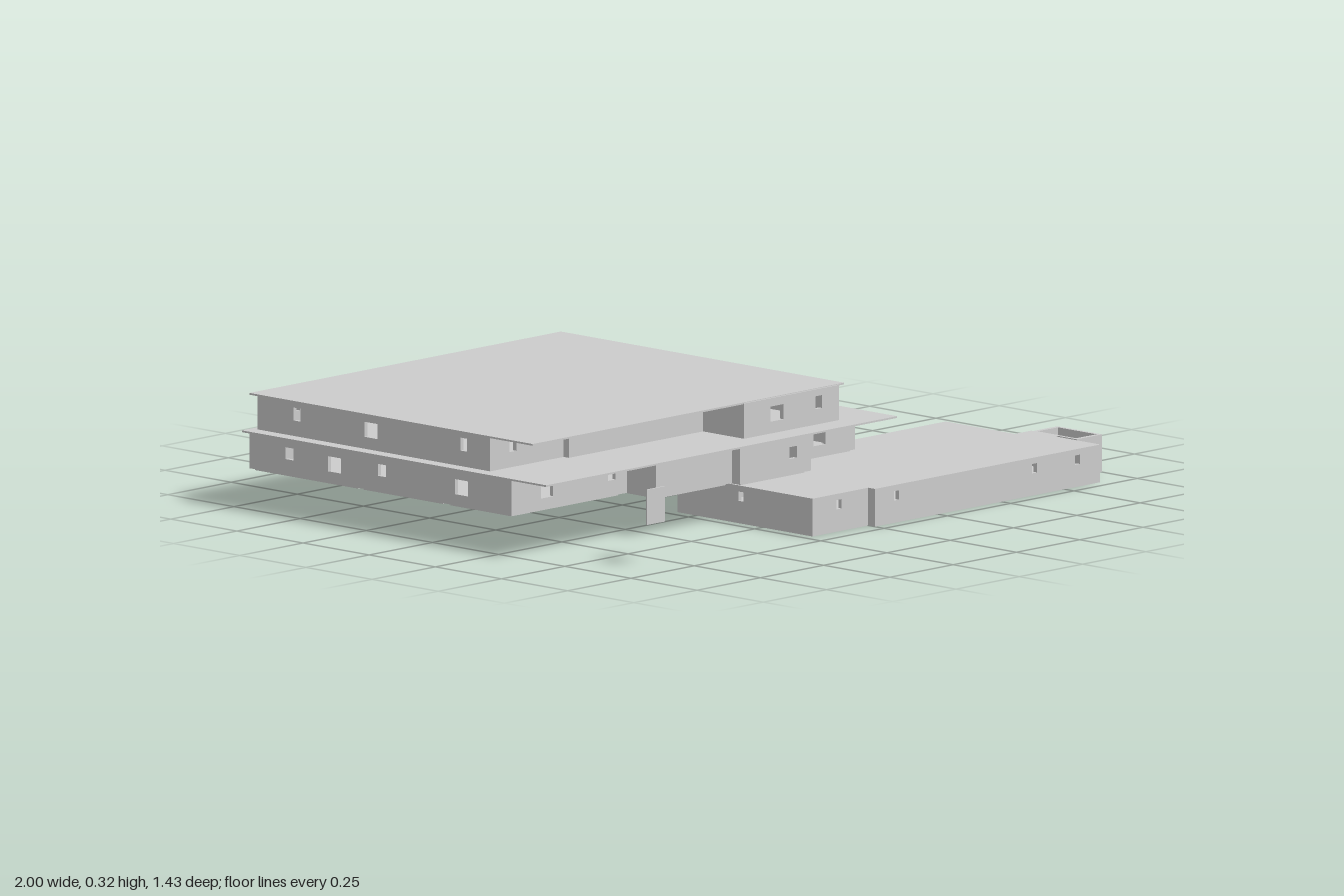
import * as THREE from 'three';

const wallGrey = new THREE.MeshStandardMaterial({ color: 0xcccccc, side: THREE.DoubleSide });
wallGrey.name = 'wall grey';

function add(parent, geometry, name) {
  const mesh = new THREE.Mesh(geometry, wallGrey);
  mesh.name = name;
  parent.add(mesh);
  return mesh;
}

function box(parent, name, x0, x1, y0, y1, z0, z1) {
  const mesh = add(parent, new THREE.BoxGeometry(x1 - x0, y1 - y0, z1 - z0), name);
  mesh.position.set((x0 + x1) / 2, (y0 + y1) / 2, (z0 + z1) / 2);
}

// Horizontal slab that follows an outline of [x, z] points
function slab(parent, name, outline, y, height) {
  const shape = new THREE.Shape(outline.map(([x, z]) => new THREE.Vector2(x, -z)));
  const geometry = new THREE.ExtrudeGeometry(shape, { depth: height, bevelEnabled: false });
  geometry.rotateX(-Math.PI / 2);
  add(parent, geometry, name).position.y = y;
}

// Wall panels along an outline; each point may list the windows of the wall
// that starts there, as [coordinate along the wall, width, height, centre y]
function walls(parent, outline, y0, y1) {
  const t = 0.012;
  outline.forEach(([x, z, windows = []], i) => {
    const [nx, nz] = outline[(i + 1) % outline.length];
    const dx = nx - x, dz = nz - z, length = Math.hypot(dx, dz);
    const shape = new THREE.Shape([[0, 0], [length, 0], [length, y1 - y0], [0, y1 - y0]]
      .map(p => new THREE.Vector2(...p)));
    for (const [at, w, h, cy] of windows) {
      const c = Math.abs(at - (Math.abs(dx) > Math.abs(dz) ? x : z));
      const b = cy - y0 - h / 2;
      shape.holes.push(new THREE.Path([[c - w / 2, b], [c - w / 2, b + h], [c + w / 2, b + h], [c + w / 2, b]]
        .map(p => new THREE.Vector2(...p))));
    }
    const geometry = new THREE.ExtrudeGeometry(shape, { depth: t, bevelEnabled: false });
    geometry.translate(0, 0, -t);
    const panel = add(parent, geometry, 'wallPanel');
    panel.position.set(x, y0, z);
    panel.rotation.y = Math.atan2(-dz, dx);
  });
}

function level(root, name) {
  const group = new THREE.Group();
  group.name = name;
  root.add(group);
  return group;
}

const row = (list, w, h, y) => list.map(c => [c, w, h, y]);

export function createModel() {
  const root = new THREE.Group();
  root.name = 'steppedBuilding';

  // Lower storey
  const lower = level(root, 'lowerStorey');
  const small = list => row(list, 0.02, 0.026, 0.075);
  const lowerOutline = [
    [-0.22, 0.69, small([-0.115])], [0, 0.69], [0, 0.715, small([0.085, 0.63, 0.8])],
    [0.89, 0.715], [0.89, 0.545], [0.905, 0.545], [0.905, 0.44], [0.84, 0.44, small([0.4, 0.27])],
    [0.84, 0.18, small([0.65, 0.44, 0.24, 0.05])], [-0.22, 0.18, small([0.42])],
  ];
  walls(lower, lowerOutline, 0.002, 0.104);
  slab(lower, 'lowerFloor', lowerOutline, 0, 0.01);
  slab(lower, 'lowerRoof', lowerOutline, 0.1, 0.005);

  // Open shaft beside the lower storey
  const shaft = level(root, 'openShaft');
  box(shaft, 'shaftFront', 0.9, 1, 0, 0.105, 0.605, 0.617);
  box(shaft, 'shaftBack', 0.9, 1, 0, 0.105, 0.448, 0.46);
  box(shaft, 'shaftInnerSide', 0.9, 0.91, 0, 0.105, 0.46, 0.605);
  box(shaft, 'shaftOuterSide', 0.99, 1, 0, 0.105, 0.46, 0.605);

  // Middle storey
  const middle = level(root, 'middleStorey');
  const mid = list => row(list, 0.03, 0.033, 0.172);
  const wide = list => row(list, 0.048, 0.042, 0.164);
  const middleOutline = [
    [-0.99, 0.29, [...wide([-0.85]), ...mid([-0.595])]], [-0.535, 0.29], [-0.535, 0.4], [-0.235, 0.4],
    [-0.235, 0.43, mid([-0.025])], [0.045, 0.43], [0.045, 0.305, wide([0.21])],
    [0.35, 0.305, wide([0.165])], [0.35, 0], [0.37, 0, mid([-0.12])], [0.37, -0.255],
    [0.335, -0.255, row([-0.39], 0.066, 0.042, 0.164)], [0.335, -0.545],
    [0.255, -0.545, mid([-0.625])], [0.255, -0.72, mid([0.13])], [0, -0.72],
    [0, -0.7, [...mid([-0.06, -0.25, -0.7]), ...wide([-0.46, -0.88])]],
    [-0.99, -0.7, [...mid([-0.55, -0.2]), ...wide([-0.38, 0.1])]],
  ];
  walls(middle, middleOutline, 0.112, 0.214);
  slab(middle, 'middleFloor', middleOutline, 0.112, 0.006);
  box(middle, 'middleRoof', -1, 0.385, 0.211, 0.216, -0.72, 0.43);

  // Room floors that stand slightly proud of the underside, with gaps between
  const rooms = [
    [-0.98, -0.66, -0.69, -0.3], [-0.98, -0.66, -0.28, 0.02], [-0.98, -0.56, 0.05, 0.28],
    [-0.64, -0.3, -0.69, -0.42], [-0.28, -0.01, -0.69, -0.42], [0.01, 0.245, -0.71, -0.42],
    [-0.64, -0.09, -0.4, 0.03], [-0.07, 0.325, -0.4, -0.01], [-0.52, -0.25, 0.05, 0.39],
    [-0.22, 0.03, 0.05, 0.42], [0.05, 0.34, 0.05, 0.295],
  ];
  for (const [x0, x1, z0, z1] of rooms) box(middle, 'roomFloor', x0, x1, 0.107, 0.113, z0, z1);

  // Upper storey
  const upper = level(root, 'upperStorey');
  const top = list => row(list, 0.026, 0.036, 0.277);
  const topWide = list => row(list, 0.05, 0.042, 0.27);
  const upperOutline = [
    [-0.96, 0.18, top([-0.87])], [-0.67, 0.18], [-0.67, 0.2], [-0.14, 0.2],
    [-0.14, 0.355, [...topWide([-0.01]), ...top([0.155])]], [0.235, 0.355], [0.235, 0.02],
    [0.26, 0.02, row([-0.2], 0.066, 0.042, 0.268)], [0.26, -0.42], [0.2, -0.42],
    [0.2, -0.665, top([0.09])], [0.02, -0.665],
    [0.02, -0.7, [...topWide([-0.27, -0.83]), ...top([-0.55])]],
    [-0.96, -0.7, [...top([-0.55, 0.08]), ...topWide([-0.27])]],
  ];
  walls(upper, upperOutline, 0.216, 0.314);
  box(upper, 'upperRoof', -0.97, 0.26, 0.311, 0.316, -0.72, 0.35);

  // Free-standing door panel
  box(root, 'doorPanel', -0.845, -0.775, 0.115, 0.213, 0.658, 0.663);

  return root;
}
